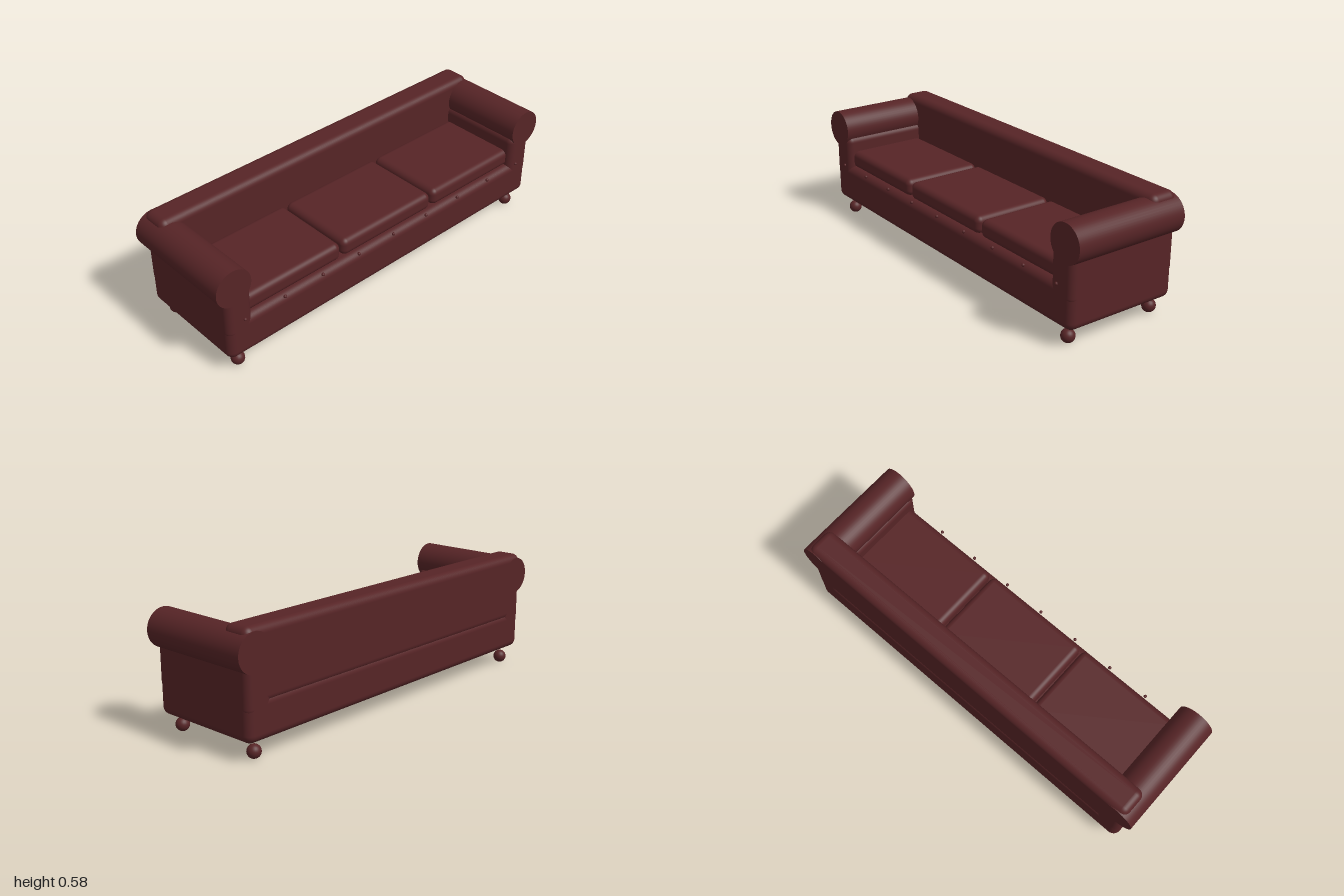
import * as THREE from 'three';
import { RoundedBoxGeometry } from 'three/addons/geometries/RoundedBoxGeometry.js';

export function createModel() {
  const sofa = new THREE.Group();
  sofa.name = 'sofa';
  const leather = new THREE.MeshStandardMaterial({ color: 0x562426 });
  leather.name = 'oxblood leather';

  const add = (name, geometry, x, y, z) => {
    const mesh = new THREE.Mesh(geometry, leather);
    mesh.name = name;
    mesh.position.set(x, y, z);
    sofa.add(mesh);
    return mesh;
  };

  // Padded block given by its extents on each axis
  const block = (name, [x0, x1], [y0, y1], [z0, z1], radius) =>
    add(name, new RoundedBoxGeometry(x1 - x0, y1 - y0, z1 - z0, 6, radius),
      (x0 + x1) / 2, (y0 + y1) / 2, (z0 + z1) / 2);

  const depth = [-0.291, 0.283];

  // Base and backrest, with a shallow seam between them at the rear
  block('base', [-0.955, 0.955], [0.085, 0.28], depth, 0.038);
  block('backrest', [-0.955, 0.955], [0.245, 0.58], [-0.291, -0.147], 0.036);

  // Three seat cushions
  for (const i of [-1, 0, 1]) {
    const x = i * 0.574;
    block('seatCushion', [x - 0.281, x + 0.281], [0.272, 0.36], [-0.16, 0.252], 0.03);
  }

  // Arms with rolled tops, and ball feet
  const rollGeometry = new THREE.CylinderGeometry(0.09, 0.09, depth[1] - depth[0], 48);
  rollGeometry.rotateX(Math.PI / 2);
  const footGeometry = new THREE.SphereGeometry(0.032, 24, 16);
  for (const side of [-1, 1]) {
    const arm = block('armPanel', [0.82, 0.955], [0.203, 0.44], depth, 0.034);
    arm.position.x *= side;
    add('armRoll', rollGeometry, side * 0.91, 0.472, (depth[0] + depth[1]) / 2);
    for (const z of [0.226, -0.234]) add('foot', footGeometry, side * 0.88, 0.032, z);
  }

  // Row of upholstery studs along the front
  const studGeometry = new THREE.SphereGeometry(0.008, 12, 8);
  for (let i = -4; i <= 4; i++) add('stud', studGeometry, i * 0.2165, 0.281, 0.284);

  return sofa;
}
